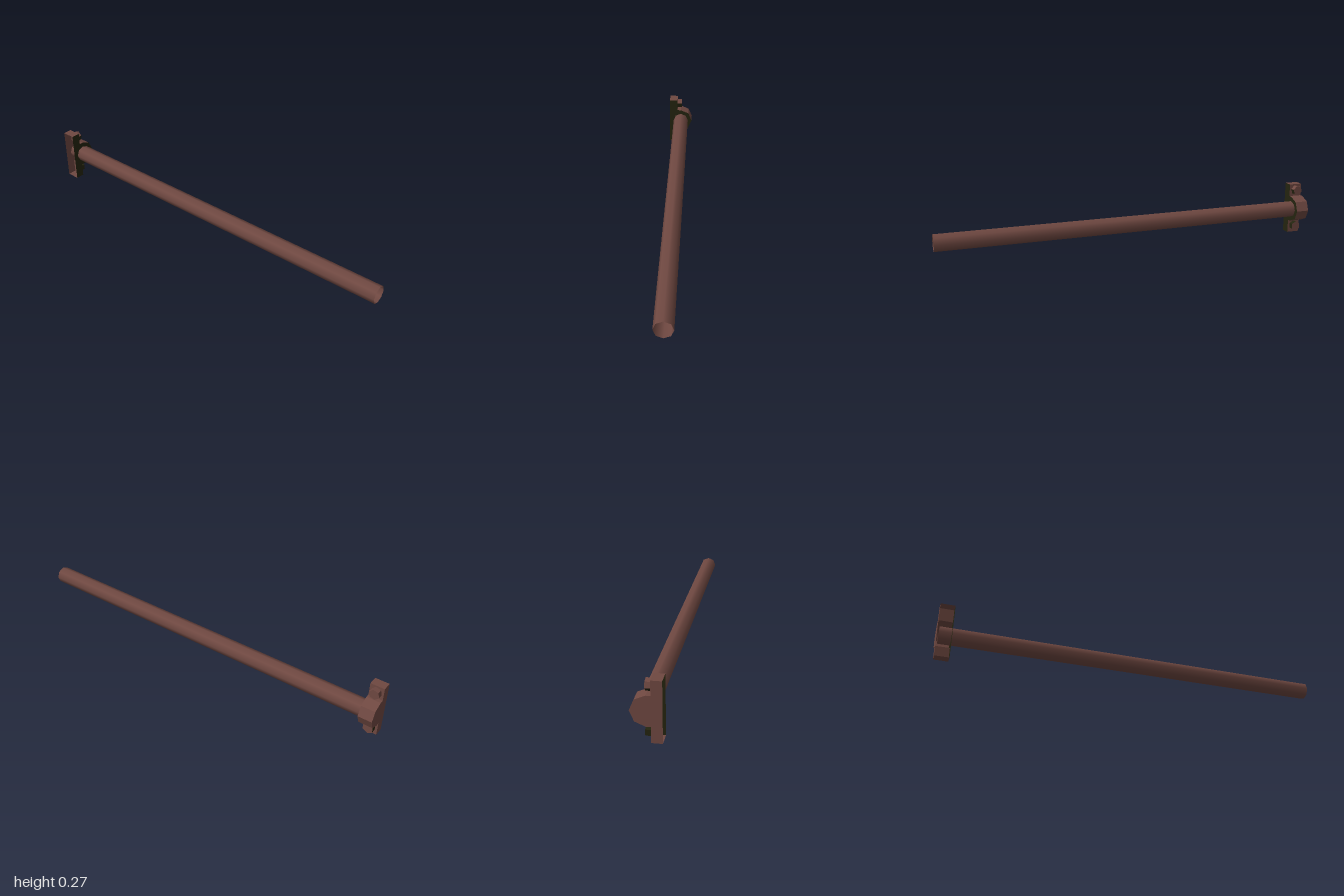
import * as THREE from 'three';

const brown = new THREE.MeshStandardMaterial({ color: 0x6f4841, side: THREE.DoubleSide });
brown.name = 'rusty brown';
const dark = new THREE.MeshStandardMaterial({ color: 0x24240f, side: THREE.DoubleSide });
dark.name = 'dark olive';

function add(parent, geometry, material, name) {
  const mesh = new THREE.Mesh(geometry, material);
  mesh.name = name;
  parent.add(mesh);
  return mesh;
}

// Flat-faceted wall following 2D points, running from z0 to z1
function wall(points, z0, z1) {
  const v = [];
  for (let i = 0; i < points.length - 1; i++) {
    const [ax, ay] = points[i], [bx, by] = points[i + 1];
    v.push(ax, ay, z0, bx, by, z0, bx, by, z1, ax, ay, z0, bx, by, z1, ax, ay, z1);
  }
  const g = new THREE.BufferGeometry();
  g.setAttribute('position', new THREE.Float32BufferAttribute(v, 3));
  g.computeVertexNormals();
  return g;
}

function plate(points) {
  return new THREE.ShapeGeometry(new THREE.Shape(points.map(([x, y]) => new THREE.Vector2(x, y))));
}

// Hexagonal bolt head pointing along +x; the first brownSides facets are brown
function boltHead(y, startAngle, brownSides) {
  const group = new THREE.Group();
  group.name = 'boltHead';
  const points = [];
  for (let i = 0; i <= 6; i++) {
    const a = THREE.MathUtils.degToRad(startAngle + i * 60);
    points.push([-0.0265 * Math.cos(a), 0.0265 * Math.sin(a)]);
  }
  // the outline runs clockwise here, so reverse each wall for outward facets
  const facets = (from, to) => wall(points.slice(from, to + 1).reverse(), 0, 0.026);
  if (brownSides > 0) add(group, facets(0, brownSides), brown, 'boltUpperSides');
  add(group, facets(brownSides, 6), dark, 'boltSides');
  add(group, plate(points.slice(0, 6)), brown, 'boltCap').position.z = 0.026;
  group.rotation.y = Math.PI / 2;
  group.position.set(-0.02, y, -0.965);
  return group;
}

export function createModel() {
  const model = new THREE.Group();
  model.name = 'pipeWithBracket';

  // Long open pipe reaching into the bracket
  const pipe = new THREE.CylinderGeometry(0.044, 0.044, 1.99, 8, 1, true);
  pipe.rotateX(Math.PI / 2);
  add(model, pipe, brown, 'pipe').position.set(0, 0.139, 0.005);

  // Hollow bracket: flange with faceted collar, open on its -x side
  const outline = [
    [-0.067, 0], [-0.02, 0], [-0.02, 0.071], [0, 0.071], [0.047, 0.091], [0.067, 0.139],
    [0.047, 0.187], [0, 0.207], [-0.02, 0.207], [-0.02, 0.273], [-0.067, 0.273],
  ];
  const bracket = new THREE.Group();
  bracket.name = 'bracket';
  add(bracket, wall(outline, -1, -0.93), brown, 'bracketSides');
  add(bracket, plate(outline), dark, 'bracketFront').position.z = -0.93;
  const back = plate(outline.map(([x, y]) => [-x, y]));
  back.rotateY(Math.PI);
  add(bracket, back, brown, 'bracketBack').position.z = -1;
  model.add(bracket);

  // Bolt heads above and below the collar
  model.add(boltHead(0.2405, 15, 3), boltHead(0.038, 30, 0));
  return model;
}
